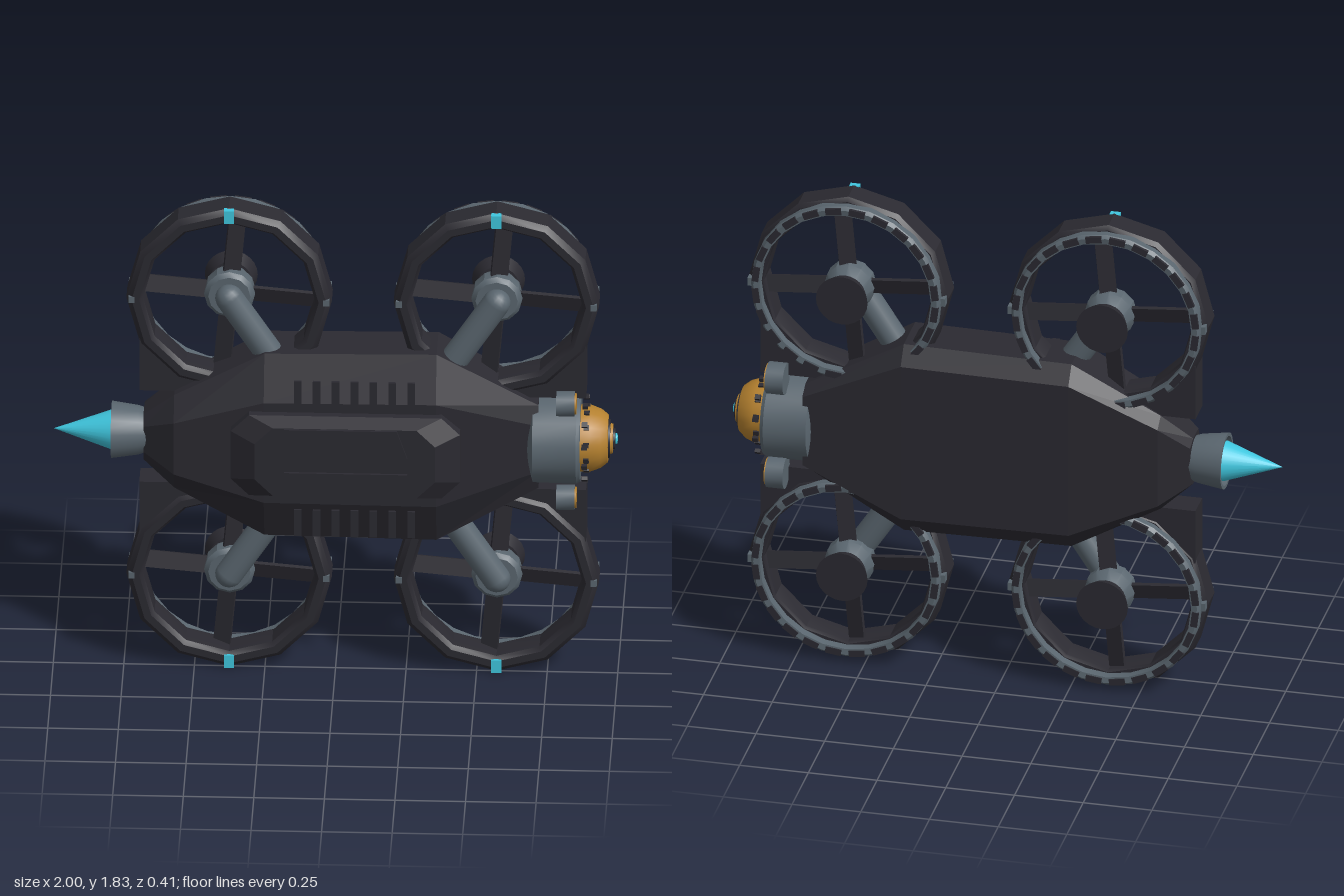
import * as THREE from 'three';
import { toCreasedNormals } from 'three/addons/utils/BufferGeometryUtils.js';

const CY = 0.924, CZ = -0.042; // main axis of the craft
const mat = (name, color) => Object.assign(new THREE.MeshStandardMaterial({ color }), { name });

// Skin between cross-sections, each listed clockwise as seen from the far end
function loft(sections) {
  const pos = [], n = sections[0].length, last = sections.length - 1;
  const tri = (...pts) => pts.forEach(p => pos.push(...p));
  for (let i = 0; i < last; i++) {
    for (let j = 0; j < n; j++) {
      const k = (j + 1) % n;
      const a = sections[i][j], b = sections[i][k], c = sections[i + 1][k], d = sections[i + 1][j];
      tri(a, d, c);
      tri(a, c, b);
    }
  }
  for (let k = 1; k < n - 1; k++) {
    tri(sections[0][0], sections[0][k], sections[0][k + 1]);
    tri(sections[last][0], sections[last][k + 1], sections[last][k]);
  }
  const g = new THREE.BufferGeometry();
  g.setAttribute('position', new THREE.Float32BufferAttribute(pos, 3));
  g.computeVertexNormals();
  return g;
}

const lathe = (pts, seg) => new THREE.LatheGeometry(pts.map(p => new THREE.Vector2(...p)), seg);
const latheX = (pts, seg = 24) => toCreasedNormals(lathe(pts, seg).rotateZ(-Math.PI / 2), 0.5); // [radius, x]
const latheZ = (pts, seg = 24) => toCreasedNormals(lathe(pts, seg).rotateX(Math.PI / 2), 0.5);  // [radius, z]

export function createModel() {
  const dark = mat('dark hull', 0x2b2a31);
  const grey = mat('grey metal', 0x5a666f);
  const amber = mat('amber metal', 0xb5812f);
  const cyan = mat('cyan glow', 0x3fc6de);
  const model = new THREE.Group();
  const add = (parent, name, geo, material, x = 0, y = 0, z = 0) => {
    const m = new THREE.Mesh(geo, material);
    m.name = name;
    m.position.set(x, y, z);
    parent.add(m);
    return m;
  };
  const box = (w, h, d) => new THREE.BoxGeometry(w, h, d);

  // Hull: octagonal sections along x [x, half height, front z, shoulder z, back z]
  const hull = [
    [-0.68, 0.09, 0.03, 0.01, -0.12],
    [-0.57, 0.185, 0.1, 0.04, -0.155],
    [-0.25, 0.362, 0.118, 0.05, -0.175],
    [0.36, 0.37, 0.118, 0.05, -0.175],
    [0.72, 0.165, 0.05, 0.03, -0.165],
  ].map(([x, h, zf, zs, zb]) => {
    const half = [[zf, 0.55 * h], [zs, h], [zb + 0.05, h], [zb, 0.82 * h]];
    const all = [...half, ...half.map(([z, y]) => [z, -y]).reverse()];
    return all.map(([z, y]) => [x, CY + y, z]);
  });
  add(model, 'hull', loft(hull), dark);

  // Raised front cover with chamfered corners
  const cover = [[0.406, 0.16, 0.09], [0.406, 0.16, 0.145], [0.32, 0.135, 0.195]].map(([a, b, z]) => {
    const c = 0.065;
    return [[-a, b - c], [-a + c, b], [a - c, b], [a, b - c], [a, c - b], [a - c, -b], [c - a, -b], [-a, c - b]]
      .map(([x, y]) => [0.04 + x, CY + 0.005 + y, z]);
  });
  add(model, 'frontCover', loft(cover), dark);

  // Slanted cover panels and rows of vent slats
  for (const s of [1, -1]) {
    const y = CY + s * 0.085;
    const pts = [[-0.175, 0.055], [0.225, 0.055], [0.262, -0.053], [-0.175, -0.053]];
    const shape = new THREE.Shape(pts.map(([x, v]) => new THREE.Vector2(x, v * s)));
    add(model, 'coverPanel', new THREE.ExtrudeGeometry(shape, { depth: 0.009, bevelEnabled: false }), dark, 0, y, 0.198);
    for (let i = 0; i < 7; i++) {
      add(model, 'ventSlat', box(0.027, 0.104, 0.009), dark, -0.128 + i * 0.067, CY + s * 0.257, 0.153);
    }
  }

  // Engine drum and stepped nose at the +x end
  const nose = new THREE.Group();
  nose.name = 'nose';
  nose.position.set(0, CY, CZ);
  model.add(nose);
  add(nose, 'engineDrum', latheX([[0, 0.65], [0.16, 0.7], [0.163, 0.855], [0.155, 0.868], [0, 0.868]]), grey);
  add(nose, 'noseDome', latheX([[0, 0.86], [0.12, 0.86], [0.118, 0.905], [0.105, 0.94], [0.085, 0.965], [0, 0.968]]), amber);
  add(nose, 'lensCollar', latheX([[0, 0.96], [0.07, 0.96], [0.068, 0.973], [0, 0.974]]), dark);
  add(nose, 'lensStep', latheX([[0, 0.97], [0.057, 0.97], [0.052, 0.982], [0, 0.983]]), amber);
  add(nose, 'lensRim', latheX([[0, 0.98], [0.04, 0.98], [0.036, 0.99], [0, 0.991]]), dark);
  add(nose, 'lens', latheX([[0, 0.985], [0.022, 0.985], [0.018, 0.997], [0, 1]]), cyan);
  for (let i = 0; i < 12; i++) {
    const a = (i + 0.5) * Math.PI / 6;
    for (const [r, x, s] of [[0.152, 0.885, 0.014], [0.118, 0.89, 0.014]]) {
      const stud = add(nose, 'stud', box(0.02, s, 0.018), dark, x, Math.cos(a) * r, Math.sin(a) * r);
      stud.rotation.x = a;
    }
  }

  // Small thrusters around the drum
  for (const s of [1, -1]) {
    for (const [z, r] of [[-0.139, 0.058], [0.056, 0.045]]) {
      const y = CY + s * 0.187;
      add(model, 'thruster', latheX([[0, 0.785], [r, 0.785], [r, 0.85], [0, 0.85]], 16), grey, 0, y, z);
      add(model, 'thrusterFace', latheX([[0, 0.849], [r * 0.85, 0.849], [r * 0.85, 0.856], [0, 0.856]], 16), amber, 0, y, z);
    }
  }

  // Tail nozzle and glowing cone at the -x end
  add(model, 'tailNozzle', latheX([[0.078, -0.74], [0.09, -0.795], [0.102, -0.795], [0.088, -0.7], [0.055, -0.6], [0, -0.58]]),
    grey, 0, CY, CZ);
  add(model, 'nozzleFloor', latheX([[0, -0.76], [0.085, -0.76], [0.075, -0.74], [0, -0.74]]), dark, 0, CY, CZ);
  add(model, 'tailFlame', latheX([[0, -1], [0.073, -0.79], [0.06, -0.755], [0, -0.755]]), cyan, 0, CY, CZ);

  // Shared rotor geometries
  const duct = latheZ([[0.31, -0.105], [0.35, -0.105], [0.364, -0.09], [0.364, 0], [0.345, 0.018],
    [0.318, 0.018], [0.305, 0], [0.305, -0.09], [0.31, -0.105]], 12);
  const rail = latheZ([[0.312, -0.14], [0.334, -0.143], [0.345, -0.13], [0.345, -0.1], [0.312, -0.1], [0.312, -0.14]]);
  const motor = latheZ([[0, -0.192], [0.094, -0.192], [0.075, -0.14], [0, -0.135]]);
  const hub = latheZ([[0, -0.15], [0.06, -0.15], [0.09, -0.085], [0.09, -0.035], [0.075, -0.02], [0, -0.02]], 12);
  const arm = new THREE.CapsuleGeometry(0.05, 0.4, 6, 16);
  const blade = box(0.29, 0.062, 0.014).translate(0.165, 0, 0);
  const corner = new THREE.Shape();
  corner.moveTo(-0.318, -0.16);
  corner.lineTo(-0.318, -0.368);
  corner.lineTo(0, -0.368);
  corner.lineTo(0, -0.335);
  corner.absarc(0, 0, 0.335, -Math.PI / 2, -Math.PI * 0.85, true);
  const cornerPlate = new THREE.ExtrudeGeometry(corner, { depth: 0.105, bevelEnabled: false, curveSegments: 12 });

  // Four ducted rotors; side is -1 or +1 along x, up is -1 or +1 along y
  for (const [side, cx] of [[-1, -0.377], [1, 0.57]]) {
    for (const up of [1, -1]) {
      const rotor = new THREE.Group();
      rotor.name = 'rotor';
      rotor.position.set(cx, CY + up * 0.551, 0);
      model.add(rotor);
      add(rotor, 'duct', duct, dark);
      add(rotor, 'ductRail', rail, grey);
      for (let i = 0; i < 24; i++) {
        const a = (i + 0.5) * Math.PI / 12;
        const pad = add(rotor, 'railPad', box(0.024, 0.058, 0.012), dark, Math.cos(a) * 0.327, Math.sin(a) * 0.327, -0.139);
        pad.rotation.z = a;
      }
      add(rotor, 'cornerPlate', cornerPlate, dark, 0, 0, -0.1).scale.set(-side, up, 1);
      add(rotor, 'ductLight', box(0.036, 0.05, 0.024), cyan, 0, up * 0.337, 0.009);
      for (const s of [1, -1]) {
        add(rotor, 'ductClip', box(0.022, 0.024, 0.02), grey, s * 0.345, 0, 0.01);
        add(rotor, 'railClip', box(0.025, 0.03, 0.03), grey, s * 0.347, 0, -0.11);
      }
      add(rotor, 'motor', motor, dark);
      add(rotor, 'hub', hub, grey);
      for (let i = 0; i < 4; i++) {
        const spin = add(rotor, 'blade', blade, dark, 0, 0, -0.065);
        spin.rotation.set(0.3, 0, i * Math.PI / 2 - 0.09, 'ZYX');
      }
      // Arm from the hub down into the hull
      const dir = new THREE.Vector3(-side * 0.55, -up * 0.84, 0).normalize();
      const strut = add(rotor, 'arm', arm, grey, dir.x * 0.2, dir.y * 0.2, -0.01);
      strut.quaternion.setFromUnitVectors(new THREE.Vector3(0, 1, 0), dir);
    }
  }
  return model;
}
